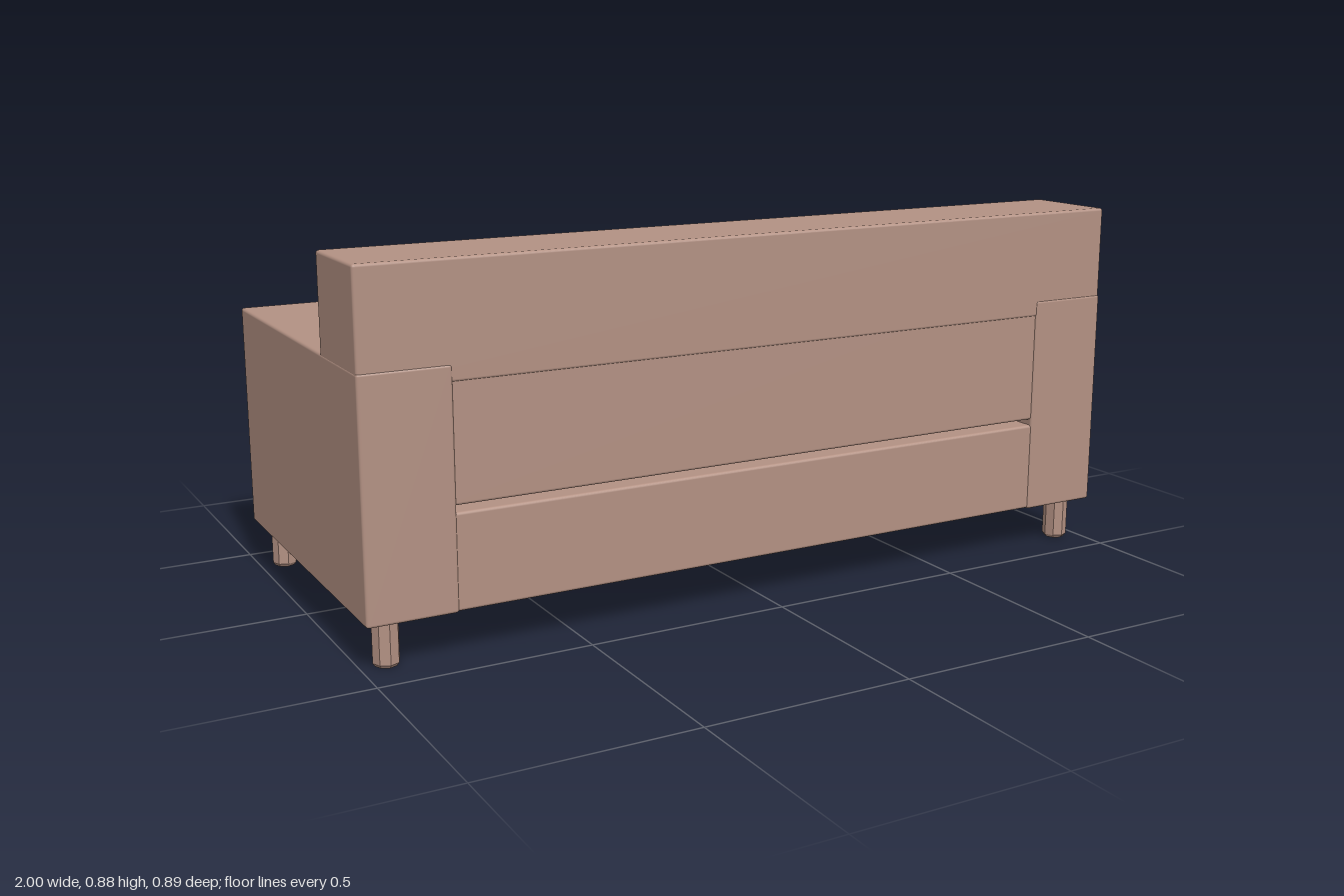
import * as THREE from 'three';
import { RoundedBoxGeometry } from 'three/addons/geometries/RoundedBoxGeometry.js';

export function createModel() {
  const sofa = new THREE.Group();
  sofa.name = 'sofa';

  const upholstery = new THREE.MeshStandardMaterial({ color: 0xb39183 });
  upholstery.name = 'dusty rose upholstery';
  const cushionFabric = new THREE.MeshStandardMaterial({ color: 0xaeaaa0 });
  cushionFabric.name = 'warm grey cushion fabric';
  const legMaterial = upholstery.clone();
  legMaterial.flatShading = true;
  legMaterial.name = 'dusty rose faceted legs';

  const add = (name, geometry, material) => {
    const mesh = new THREE.Mesh(geometry, material);
    mesh.name = name;
    sofa.add(mesh);
    return mesh;
  };

  // Softly bevelled box given by its extents on each axis
  const block = (name, [x0, x1], [y0, y1], [z0, z1], material, bevel = 0.007) => {
    const mesh = add(name, new RoundedBoxGeometry(x1 - x0, y1 - y0, z1 - z0, 2, bevel), material);
    mesh.position.set((x0 + x1) / 2, (y0 + y1) / 2, (z0 + z1) / 2);
    return mesh;
  };

  // Frame: the seat faces -z, the tall back stands at +z;
  // a narrow slot is left between base and back panel
  block('base', [-0.81, 0.81], [0.112, 0.335], [-0.442, 0.442], upholstery);
  block('backPanel', [-0.81, 0.81], [0.35, 0.72], [0.201, 0.441], upholstery);
  block('backrest', [-0.999, 0.999], [0.62, 0.885], [0.2, 0.443], upholstery);

  // Slim chamfered leg
  const legProfile = [[0, 0], [0.025, 0], [0.031, 0.008], [0.031, 0.102], [0.025, 0.112], [0, 0.112]]
    .map(([r, y]) => new THREE.Vector2(r, y));
  const legGeometry = new THREE.LatheGeometry(legProfile, 8);

  for (const side of [-1, 1]) {
    const label = side > 0 ? 'left' : 'right';
    const span = (a, b) => (side > 0 ? [a, b] : [-b, -a]);

    block(label + 'Arm', span(0.79, 1), [0.11, 0.66], [-0.445, 0.445], upholstery);
    block(label + 'SeatCushion', span(0.025, 0.792), [0.352, 0.505], [-0.385, 0.21], cushionFabric, 0.01);

    // Back cushion leans forward at the top and overlaps the arm
    const back = add(label + 'BackCushion', new RoundedBoxGeometry(0.815, 0.36, 0.16, 2, 0.012), cushionFabric);
    back.position.set(side * 0.441, 0.63, 0.132);
    back.rotation.set(-0.144, -0.008, 0);

    for (const z of [-0.385, 0.385]) {
      const leg = add(label + (z < 0 ? 'FrontLeg' : 'RearLeg'), legGeometry, legMaterial);
      leg.position.set(side * 0.94, 0, z);
    }
  }
  return sofa;
}
